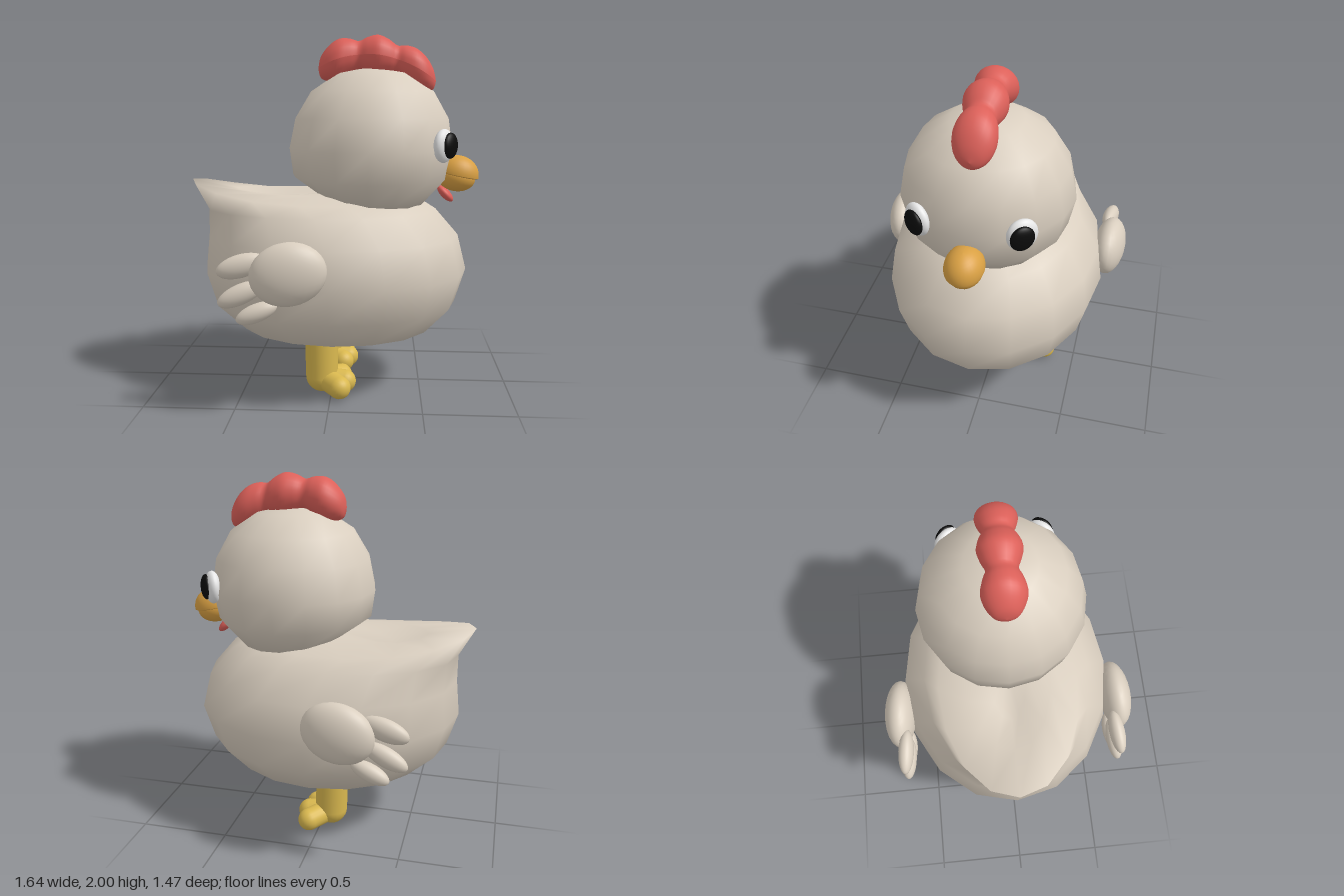
import * as THREE from 'three';
import { mergeVertices } from 'three/addons/utils/BufferGeometryUtils.js';

const paint = (name, color) => {
  const m = new THREE.MeshStandardMaterial({ color });
  m.name = name;
  return m;
};

// Smooth closed loft through oval rings [y, xBack, xFront, halfWidth, liftAtBack]
function loft(rings, sides = 16) {
  const pos = [], index = [];
  rings.forEach(([y, x0, x1, w, lift = 0], i) => {
    for (let j = 0; j < sides; j++) {
      const a = (j / sides) * Math.PI * 2, c = Math.cos(a);
      const back = ((1 - c) / 2) ** 4;
      pos.push((x0 + x1) / 2 + ((x1 - x0) / 2) * c, y + lift * back, w * Math.sin(a));
      if (i === rings.length - 1) continue;
      const p = i * sides + j, q = i * sides + ((j + 1) % sides);
      index.push(p, p + sides, q, q, p + sides, q + sides);
    }
  });
  const g = new THREE.BufferGeometry();
  g.setAttribute('position', new THREE.Float32BufferAttribute(pos, 3));
  g.setIndex(index);
  const merged = mergeVertices(g, 1e-4);
  merged.computeVertexNormals();
  return merged;
}

export function createModel() {
  const model = new THREE.Group();
  model.name = 'chick';
  const cream = paint('cream feathers', 0xd9cebf);
  const red = paint('comb red', 0xdc6059);
  const yellow = paint('leg yellow', 0xd9b84f);
  const orange = paint('beak orange', 0xd9a043);
  const white = paint('eye white', 0xe6e6e6);
  const black = paint('pupil black', 0x0b0b0b);

  const add = (name, geometry, material, parent = model) => {
    const mesh = new THREE.Mesh(geometry, material);
    mesh.name = name;
    parent.add(mesh);
    return mesh;
  };
  const ellipsoid = (name, material, [x, y, z], [sx, sy, sz], parent = model) => {
    const mesh = add(name, new THREE.SphereGeometry(1, 24, 16), material, parent);
    mesh.position.set(x, y, z);
    mesh.scale.set(sx, sy, sz);
    return mesh;
  };
  // Rounded limb between two points
  const limb = (name, material, from, to, radius, parent) => {
    const a = new THREE.Vector3(...from), b = new THREE.Vector3(...to);
    const d = b.clone().sub(a);
    const mesh = add(name, new THREE.CapsuleGeometry(radius, d.length(), 8, 20), material, parent);
    mesh.position.copy(a).add(b).multiplyScalar(0.5);
    mesh.quaternion.setFromUnitVectors(new THREE.Vector3(0, 1, 0), d.normalize());
    return mesh;
  };

  // Body with the tail drawn out of its upper rear edge
  add('body', loft([
    [0.32, 0, 0, 0],
    [0.325, -0.28, 0.28, 0.22],
    [0.345, -0.53, 0.56, 0.45],
    [0.49, -0.69, 0.7, 0.57],
    [0.68, -0.75, 0.76, 0.62],
    [0.88, -0.73, 0.71, 0.59],
    [1.03, -0.73, 0.58, 0.47],
    [1.08, -0.82, 0.5, 0.39, 0.11],
    [1.12, -0.56, 0.42, 0.25, 0.02],
    [1.13, -0.37, 0.35, 0.12, -0.06],
    [1.13, 0, 0, 0],
  ]), cream);

  // Head
  add('head', loft([
    [1.04, 0.21, 0.21, 0],
    [1.06, -0.1, 0.51, 0.32, 0.07],
    [1.2, -0.235, 0.64, 0.43, 0.02],
    [1.37, -0.255, 0.67, 0.465],
    [1.54, -0.22, 0.645, 0.43],
    [1.69, -0.13, 0.56, 0.34],
    [1.79, 0.02, 0.41, 0.19],
    [1.825, 0.21, 0.21, 0],
  ]), cream);

  // Comb: a lathe with three bulges, bent over the crown
  const combProfile = new THREE.SplineCurve([
    [0, -0.088], [0.06, -0.073], [0.1, -0.025], [0.115, 0.03], [0.1, 0.09], [0.08, 0.14],
    [0.1, 0.19], [0.115, 0.25], [0.1, 0.31], [0.08, 0.355], [0.098, 0.4], [0.11, 0.46],
    [0.096, 0.515], [0.055, 0.555], [0, 0.57],
  ].map(([r, t]) => new THREE.Vector2(r, t)));
  const combPoints = combProfile.getPoints(56);
  combPoints.forEach((p) => { p.x = Math.max(0, p.x); });
  const comb = new THREE.LatheGeometry(combPoints, 24);
  comb.rotateZ(-Math.PI / 2);
  const cp = comb.attributes.position;
  for (let i = 0; i < cp.count; i++) {
    const u = cp.getX(i) - 0.25;
    cp.setY(i, cp.getY(i) + 1.885 - 0.126 * u - 0.987 * u * u);
  }
  comb.computeVertexNormals();
  add('comb', comb, red);

  // Beak: domed upper half over a smaller lower half
  const beak = new THREE.Group();
  beak.name = 'beak';
  beak.position.set(0.7, 1.225, 0);
  beak.rotation.z = -0.2;
  model.add(beak);
  const upper = new THREE.SphereGeometry(1, 28, 20);
  const up = upper.attributes.position;
  for (let i = 0; i < up.count; i++) if (up.getY(i) < 0) up.setY(i, up.getY(i) * 0.12);
  upper.computeVertexNormals();
  add('upperBeak', upper, orange, beak).scale.set(0.122, 0.108, 0.102);
  ellipsoid('lowerBeak', orange, [-0.005, -0.015, 0], [0.112, 0.082, 0.094], beak);

  // Wattle
  ellipsoid('wattle', red, [0.635, 1.115, 0], [0.06, 0.026, 0.05]).rotation.z = -0.8;

  for (const side of [1, -1]) {
    const label = side > 0 ? 'right' : 'left';

    // Eye, turned outward
    const eye = new THREE.Group();
    eye.name = label + 'Eye';
    eye.position.set(0.6, 1.4, 0.262 * side);
    eye.rotation.y = -0.6 * side;
    model.add(eye);
    ellipsoid('eyeWhite', white, [0, 0, 0], [0.042, 0.09, 0.082], eye);
    ellipsoid('pupil', black, [0.033, 0.002, -0.012 * side], [0.028, 0.069, 0.064], eye);

    // Wing with three feathers
    const wing = new THREE.Group();
    wing.name = label + 'Wing';
    model.add(wing);
    const pad = ellipsoid('wingPad', cream, [-0.19, 0.78, 0.64 * side], [0.198, 0.163, 0.092], wing);
    pad.rotation.set(0, 0.08 * side, 0.2);
    [[-0.43, 0.815, 0.13, 0.06, 0.27], [-0.435, 0.668, 0.127, 0.053, 0.42], [-0.355, 0.572, 0.112, 0.048, 0.38]]
      .forEach(([x, y, long, high, tilt]) => {
        const f = ellipsoid('feather', cream, [x, y, 0.617 * side], [long, high, 0.045], wing);
        f.rotation.set(0, 0.12 * side, tilt);
      });

    // Leg and three-toed foot
    const leg = new THREE.Group();
    leg.name = label + 'Leg';
    model.add(leg);
    const z = 0.2 * side;
    limb('shin', yellow, [-0.06, 0.38, z], [-0.055, 0.095, z], 0.092, leg);
    for (const [dx, dz] of [[0.075, 0.01], [0.05, 0.118], [0.05, -0.085]]) {
      limb('toe', yellow, [-0.04, 0.075, z], [dx, 0.066, z + dz * side], 0.063, leg);
    }
  }
  return model;
}
